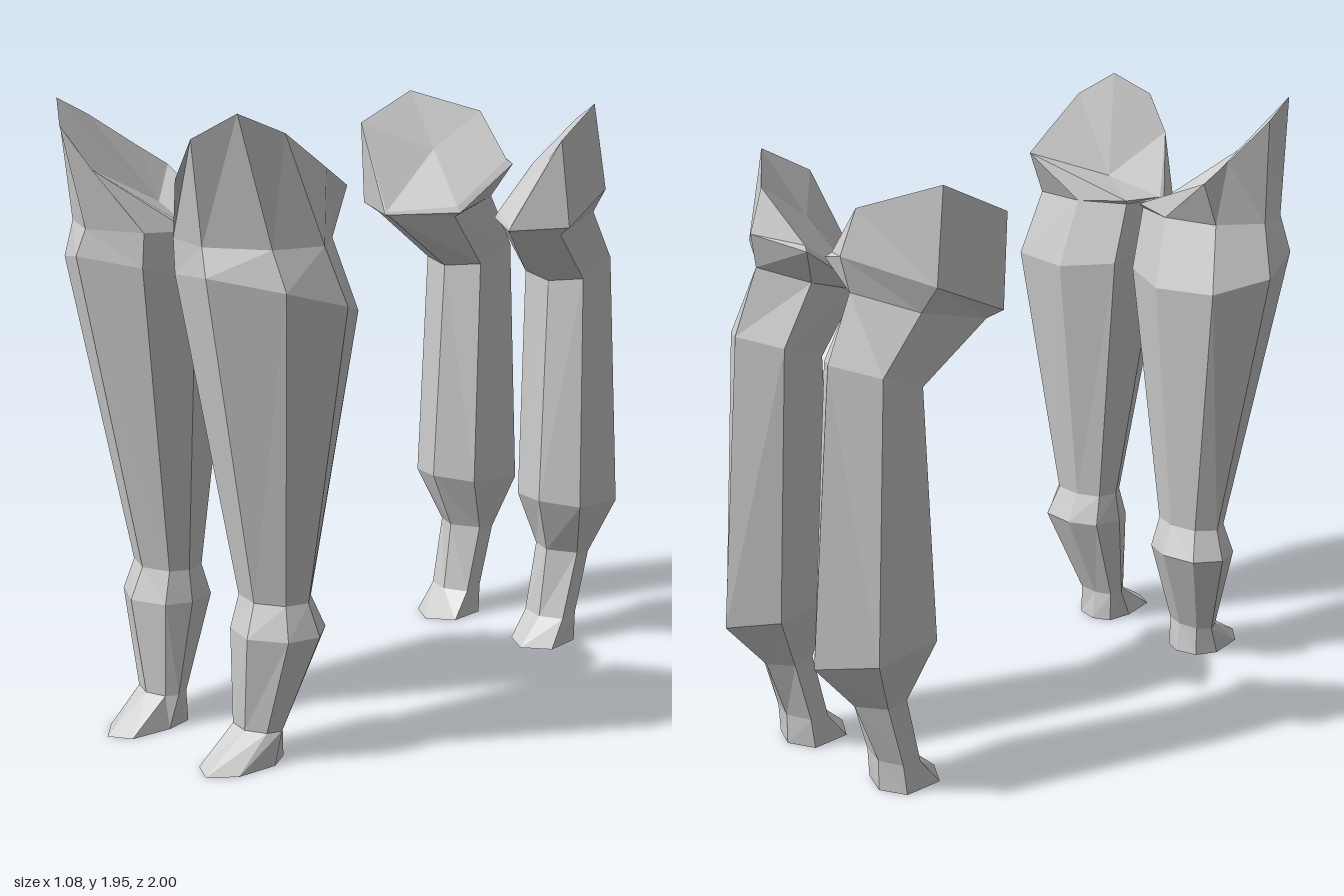
import * as THREE from 'three';

// Skin rings of points (listed top to bottom, each running front > outer > back > inner).
// side = 1 for the left leg, -1 for the mirrored right leg.
function loft(rings, topCentre, side) {
  const pos = [];
  const tri = (a, b, c) => {
    for (const p of side > 0 ? [a, b, c] : [a, c, b]) pos.push(p[0] * side, p[1], p[2]);
  };
  const n = rings[0].length;
  const last = rings[rings.length - 1];
  const bottomCentre = [0, 1, 2].map(k => last.reduce((s, p) => s + p[k], 0) / n);
  for (let j = 0; j < n; j++) {
    const k = (j + 1) % n;
    for (let i = 0; i < rings.length - 1; i++) {
      const up = rings[i], low = rings[i + 1];
      tri(low[j], low[k], up[k]);
      tri(low[j], up[k], up[j]);
    }
    tri(topCentre, rings[0][j], rings[0][k]);
    tri(bottomCentre, last[k], last[j]);
  }
  const geo = new THREE.BufferGeometry();
  geo.setAttribute('position', new THREE.Float32BufferAttribute(pos, 3));
  geo.computeVertexNormals();
  return geo;
}

// Eight-sided outline shared by the front leg rings, as (x, z) in -1..1
const OUTLINE = [[0.04, 1], [0.78, 0.52], [1, -0.23], [0.6, -0.88],
  [-0.2, -1], [-0.85, -0.65], [-1, 0.1], [-0.74, 0.69]];

// Ring from centre and half sizes; tilt raises its front edge
const ring = (cx, cz, rx, rz, y, tilt = 0) =>
  OUTLINE.map(([u, v]) => [cx + u * rx, y + v * tilt, cz + v * rz]);

function frontLegRings() {
  // Slanted shoulder: high outside, low inside
  const shoulder = [[0.28, 1.88, 1.0], [0.385, 1.95, 0.925], [0.42, 1.89, 0.78], [0.4, 1.78, 0.6],
    [0.385, 1.72, 0.5], [0.03, 1.59, 0.6], [0.01, 1.585, 0.75], [0.18, 1.76, 0.97]];
  // Toe stretched forward on the ground
  const sole = ring(0.22, 0.72, 0.092, 0.07, 0).map(([x, y, z], j) =>
    [x, y, [0.94, 0.87, 0.74, 0.67, 0.65, 0.68, 0.77, 0.9][j]]);
  return [
    shoulder,
    ring(0.242, 0.74, 0.242, 0.2, 1.577),
    ring(0.27, 0.715, 0.27, 0.24, 1.425, 0.07),
    ring(0.245, 0.67, 0.122, 0.09, 0.5),
    ring(0.255, 0.67, 0.148, 0.13, 0.4),
    ring(0.22, 0.722, 0.09, 0.058, 0.1),
    sole,
  ];
}

// Six-point rings: front, outer front, outer back, back, inner back, inner front
const hindLegRings = [
  // thigh cap and its lower rim
  [[0.27, 1.49, -0.38], [0.435, 1.78, -0.43], [0.4, 1.88, -0.645],
    [0.21, 1.81, -0.8], [0.06, 1.655, -0.765], [0.09, 1.51, -0.54]],
  [[0.27, 1.48, -0.375], [0.45, 1.5, -0.46], [0.42, 1.6, -0.69],
    [0.2, 1.68, -0.853], [0.04, 1.64, -0.775], [0.075, 1.49, -0.54]],
  [[0.26, 1.472, -0.39], [0.4, 1.47, -0.48], [0.365, 1.52, -0.7],
    [0.21, 1.575, -0.83], [0.09, 1.53, -0.72], [0.1, 1.475, -0.54]],
  // shin
  [[0.23, 1.28, -0.64], [0.345, 1.295, -0.68], [0.345, 1.35, -0.83],
    [0.21, 1.38, -0.917], [0.09, 1.35, -0.83], [0.1, 1.295, -0.68]],
  [[0.24, 0.52, -0.6], [0.37, 0.51, -0.66], [0.36, 0.49, -0.88],
    [0.21, 0.475, -1.0], [0.09, 0.49, -0.88], [0.1, 0.51, -0.66]],
  // ankle and foot
  [[0.22, 0.325, -0.675], [0.31, 0.32, -0.73], [0.305, 0.31, -0.8],
    [0.21, 0.305, -0.85], [0.13, 0.31, -0.8], [0.13, 0.32, -0.73]],
  [[0.22, 0.09, -0.64], [0.3, 0.09, -0.67], [0.3, 0.1, -0.74],
    [0.22, 0.1, -0.77], [0.135, 0.1, -0.74], [0.135, 0.09, -0.67]],
  [[0.22, 0, -0.54], [0.31, 0, -0.6], [0.305, 0, -0.73],
    [0.22, 0, -0.77], [0.13, 0, -0.73], [0.13, 0, -0.6]],
];

export function createModel() {
  const grey = new THREE.MeshStandardMaterial({ color: 0xcccccc });
  grey.name = 'plain grey';
  grey.flatShading = true;
  const model = new THREE.Group();
  model.name = 'fourLegs';
  const front = frontLegRings();
  for (const [label, side] of [['Left', 1], ['Right', -1]]) {
    const frontLeg = new THREE.Mesh(loft(front, [0.2, 1.64, 0.7], side), grey);
    frontLeg.name = 'frontLeg' + label;
    const hindLeg = new THREE.Mesh(loft(hindLegRings, [0.25, 1.69, -0.6], side), grey);
    hindLeg.name = 'hindLeg' + label;
    model.add(frontLeg, hindLeg);
  }
  return model;
}
